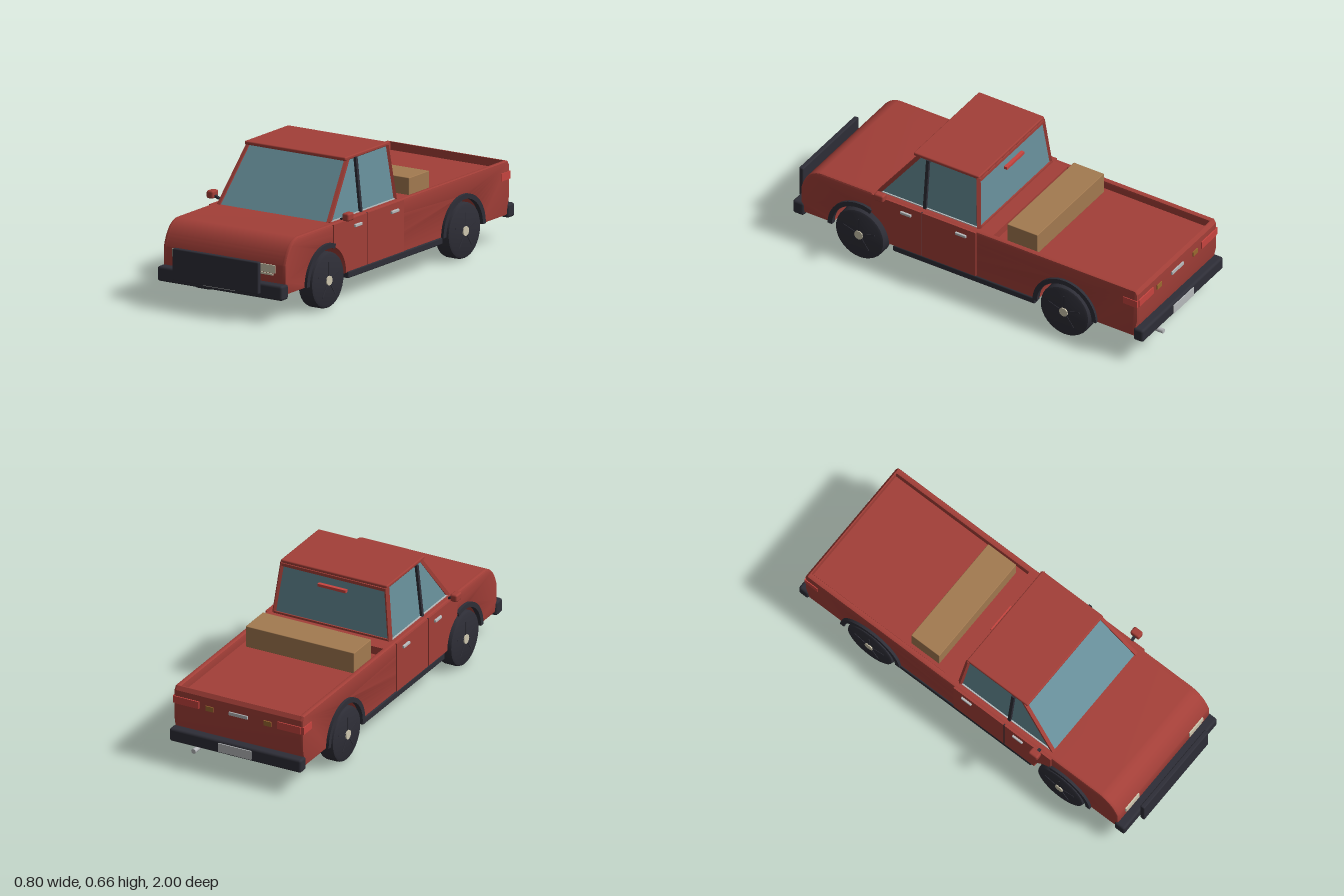
import * as THREE from 'three';
import { RoundedBoxGeometry } from 'three/addons/geometries/RoundedBoxGeometry.js';
import { toCreasedNormals } from 'three/addons/utils/BufferGeometryUtils.js';

const mat = (name, color) => {
  const m = new THREE.MeshStandardMaterial({ color });
  m.name = name;
  return m;
};

export function createModel() {
  const truck = new THREE.Group();
  truck.name = 'pickupTruck';
  const red = mat('bodyRed', 0xa33f38), glass = mat('glass', 0x678f9a), dark = mat('darkTrim', 0x2e2e37);
  const wood = mat('wood', 0xa37a50), cream = mat('lampCream', 0xcfc8b0), silver = mat('silver', 0xb8bbbd);
  const tail = mat('tailRed', 0xc8443f), amber = mat('amber', 0x9c6a30);

  const add = (name, geo, m, x = 0, y = 0, z = 0) => {
    const mesh = new THREE.Mesh(geo, m);
    mesh.name = name;
    mesh.position.set(x, y, z);
    truck.add(mesh);
    return mesh;
  };
  // box given by its limits, optionally rounded
  const box = (name, m, x0, x1, y0, y1, z0, z1, r = 0) => {
    const s = [Math.abs(x1 - x0), y1 - y0, Math.abs(z1 - z0)];
    const geo = r ? new RoundedBoxGeometry(...s, 2, r) : new THREE.BoxGeometry(...s);
    return add(name, geo, m, (x0 + x1) / 2, (y0 + y1) / 2, (z0 + z1) / 2);
  };
  // side outline drawn in (z, y), extruded from x0 to x1
  const sideSlab = (name, shape, m, x0, x1, bevel = 0) => {
    const geo = new THREE.ExtrudeGeometry(shape, {
      depth: x1 - x0 - 2 * bevel, curveSegments: 24, bevelEnabled: bevel > 0,
      bevelSize: bevel, bevelThickness: bevel, bevelOffset: -bevel, bevelSegments: 2,
    });
    geo.rotateY(-Math.PI / 2);
    geo.translate(x1 - bevel, 0, 0);
    return add(name, toCreasedNormals(geo, 0.5), m);
  };
  // bar between two points
  const bar = (name, m, a, b, w, d) => {
    const p = new THREE.Vector3(...a), q = new THREE.Vector3(...b);
    const mesh = add(name, new THREE.BoxGeometry(w, d, p.distanceTo(q)), m);
    mesh.position.copy(p).add(q).multiplyScalar(0.5);
    mesh.lookAt(q);
    return mesh;
  };

  const FRONT = 0.59, REAR = -0.545, AXLE = 0.135, ARCH = 0.16, DOOR_CUT = 1.955;

  // body outline with both wheel arches, with or without the cargo bed notch
  const bodyShape = (bed) => {
    const s = new THREE.Shape();
    s.moveTo(-0.92, 0.13);
    for (const z of [REAR, FRONT]) {
      s.lineTo(z - ARCH, 0.13);
      s.absarc(z, AXLE, ARCH, Math.PI, 0, true);
      s.lineTo(z + ARCH, 0.13);
    }
    s.lineTo(0.905, 0.13);
    s.lineTo(0.924, 0.19);
    s.lineTo(0.924, 0.268);
    s.bezierCurveTo(0.91, 0.32, 0.88, 0.385, 0.81, 0.39);
    if (bed) {
      s.lineTo(-0.13, 0.39);
      s.lineTo(-0.13, 0.35);
      s.lineTo(-0.922, 0.35);
      s.lineTo(-0.922, 0.39);
    }
    s.lineTo(-0.928, 0.39);
    s.lineTo(-0.94, 0.37);
    s.lineTo(-0.94, 0.22);
    return s;
  };
  sideSlab('bodyCore', bodyShape(true), red, -0.328, 0.328);
  sideSlab('bodySideLeft', bodyShape(false), red, 0.316, 0.346, 0.009);
  sideSlab('bodySideRight', bodyShape(false), red, -0.346, -0.316, 0.009);

  // door outlines
  const frontDoor = new THREE.Shape();
  frontDoor.moveTo(0.253, 0.388);
  frontDoor.lineTo(0.253, 0.14);
  frontDoor.lineTo(FRONT - ARCH, 0.14);
  frontDoor.absarc(FRONT, AXLE, ARCH, Math.PI, DOOR_CUT, true);
  frontDoor.lineTo(0.53, 0.388);
  const rearDoor = new THREE.Shape([[-0.05, 0.14], [0.247, 0.14], [0.247, 0.388], [-0.05, 0.388]]
    .map((p) => new THREE.Vector2(...p)));
  // arch trim, cut short where the front door overlaps it
  const lipShape = (z, end) => {
    const s = new THREE.Shape();
    s.absarc(z, AXLE, 0.176, 0, end, false);
    s.absarc(z, AXLE, 0.152, end, 0, true);
    return s;
  };

  // cab: a glass block with sloping sides
  const cabin = new THREE.BoxGeometry(1, 1, 1);
  const pos = cabin.attributes.position;
  for (let i = 0; i < pos.count; i++) {
    const top = pos.getY(i) > 0, front = pos.getZ(i) > 0;
    pos.setXYZ(i, Math.sign(pos.getX(i)) * (top ? 0.28 : 0.31), top ? 0.648 : 0.385,
      front ? (top ? 0.315 : 0.515) : (top ? -0.022 : -0.046));
  }
  cabin.computeVertexNormals();
  add('cabGlass', cabin, glass);
  box('roof', red, -0.285, 0.285, 0.645, 0.663, -0.025, 0.338, 0.006);
  box('rearWindowSill', red, -0.31, 0.31, 0.388, 0.4, -0.052, -0.03);
  box('rearWindowHeader', red, -0.28, 0.28, 0.633, 0.648, -0.03, -0.01);
  box('highBrakeLight', tail, -0.075, 0.075, 0.583, 0.597, -0.048, -0.03);

  // wheel parts
  const tyre = new THREE.LatheGeometry([[0, -0.043], [0.12, -0.043], [0.131, -0.038], [0.135, -0.027],
    [0.135, 0.027], [0.131, 0.038], [0.12, 0.043], [0, 0.043]].map((p) => new THREE.Vector2(...p)), 32);
  tyre.rotateZ(-Math.PI / 2);
  const tyreGeo = toCreasedNormals(tyre, 0.6);
  const hubGeo = new THREE.CylinderGeometry(0.023, 0.023, 0.01, 16).rotateZ(Math.PI / 2);

  for (const s of [1, -1]) {
    const side = s > 0 ? 'Left' : 'Right';
    const slab = (name, shape, m, x0, x1) =>
      sideSlab(name + side, shape, m, s > 0 ? x0 : -x1, s > 0 ? x1 : -x0);
    slab('frontDoor', frontDoor, red, 0.34, 0.353);
    slab('rearDoor', rearDoor, red, 0.34, 0.353);
    slab('frontArchTrim', lipShape(FRONT, DOOR_CUT), dark, 0.335, 0.36);
    slab('rearArchTrim', lipShape(REAR, Math.PI), dark, 0.335, 0.36);
    box('doorSeam' + side, dark, s * 0.344, s * 0.35, 0.14, 0.388, 0.247, 0.253);
    box('sill' + side, dark, s * 0.315, s * 0.352, 0.105, 0.138, -0.375, 0.41, 0.006);
    for (const z of [0.335, 0.03]) {
      box('doorHandle' + side, silver, s * 0.35, s * 0.363, 0.343, 0.357, z - 0.03, z + 0.03, 0.003);
    }

    // pillars and window trim
    bar('windscreenPillar' + side, red, [s * 0.309, 0.387, 0.51], [s * 0.275, 0.65, 0.308], 0.018, 0.018);
    bar('rearPillar' + side, red, [s * 0.308, 0.387, -0.04], [s * 0.277, 0.65, -0.017], 0.02, 0.02);
    bar('middlePillar' + side, dark, [s * 0.311, 0.387, 0.255], [s * 0.282, 0.65, 0.255], 0.016, 0.022);
    box('windowTrim' + side, silver, s * 0.306, s * 0.316, 0.388, 0.394, -0.03, 0.5);

    // wing mirror
    box('mirror' + side, red, s * 0.365, s * 0.402, 0.4, 0.438, 0.433, 0.485, 0.009);
    bar('mirrorArm' + side, dark, [s * 0.345, 0.402, 0.46], [s * 0.375, 0.416, 0.46], 0.014, 0.01);

    // wheels
    for (const z of [FRONT, REAR]) {
      add('wheel' + side, tyreGeo, dark, s * 0.32, AXLE, z);
      add('hub' + side, hubGeo, cream, s * 0.364, AXLE, z);
      for (let i = 0; i < 5; i++) {
        const a = (i / 5) * Math.PI * 2 + Math.PI / 2;
        const at = (r) => [s * 0.363, AXLE + Math.sin(a) * r, z + Math.cos(a) * r];
        bar('wheelSpoke' + side, dark, at(0.02), at(0.09), 0.005, 0.008);
      }
    }

    // lamps
    box('headlight' + side, cream, s * 0.19, s * 0.29, 0.23, 0.268, 0.91, 0.931);
    box('frontMarker' + side, cream, s * 0.19, s * 0.277, 0.218, 0.227, 0.91, 0.93);
    box('tailLight' + side, tail, s * 0.21, s * 0.335, 0.303, 0.34, -0.946, -0.93);
    box('tailLightSide' + side, tail, s * 0.335, s * 0.35, 0.303, 0.34, -0.942, -0.865);
    box('reverseLight' + side, amber, s * 0.135, s * 0.175, 0.303, 0.328, -0.945, -0.93);
  }

  // bumpers, front guard and number plates
  box('frontBumper', dark, -0.352, 0.352, 0.11, 0.182, 0.905, 0.966, 0.012);
  box('rearBumper', dark, -0.352, 0.352, 0.115, 0.182, -0.975, -0.92, 0.012);
  box('frontGuard', dark, -0.243, 0.243, 0.135, 0.29, 0.976, 1, 0.006);
  box('frontPlate', silver, -0.088, 0.088, 0.125, 0.17, 0.964, 0.97);
  box('rearPlate', silver, -0.088, 0.088, 0.125, 0.17, -0.98, -0.973);
  box('tailgateHandle', silver, -0.05, 0.05, 0.312, 0.328, -0.947, -0.93);

  // exhaust and cargo
  const pipe = new THREE.CylinderGeometry(0.012, 0.012, 0.1, 16).rotateX(Math.PI / 2);
  add('exhaust', pipe, silver, 0.208, 0.106, -0.95);
  box('cargoCrate', wood, -0.29, 0.29, 0.349, 0.456, -0.352, -0.185, 0.003);
  return truck;
}
